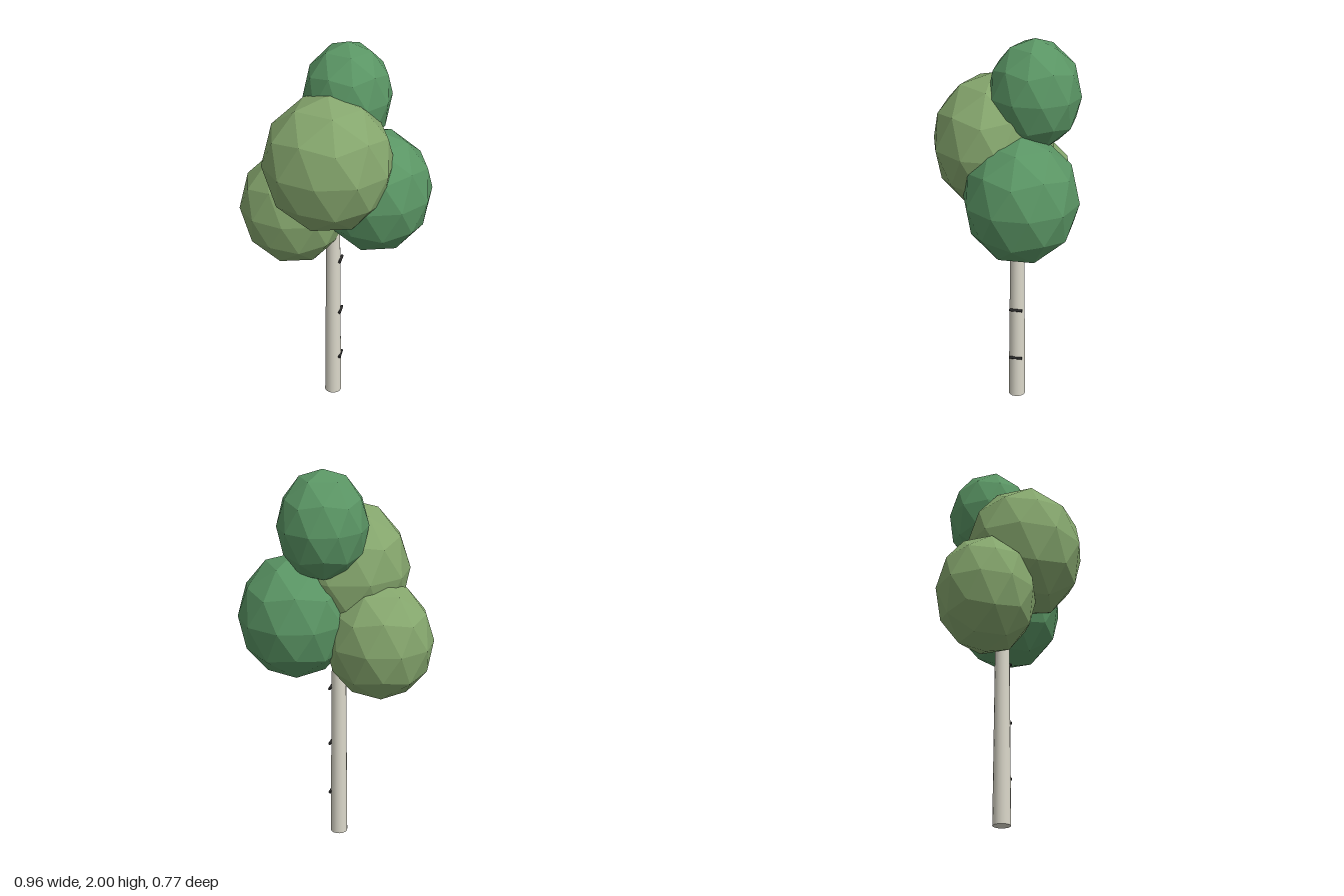
import * as THREE from 'three';

const paint = (name, color, flatShading = false) => {
  const m = new THREE.MeshStandardMaterial({ color, flatShading });
  m.name = name;
  return m;
};

export function createModel() {
  const tree = new THREE.Group();
  tree.name = 'birchTree';
  const bark = paint('paleBark', 0xdbd8ca);
  const mark = paint('barkMark', 0x2a2a2a);
  const lightLeaf = paint('lightLeaf', 0x85a66d, true);
  const darkLeaf = paint('darkLeaf', 0x5a9564, true);

  const add = (name, geometry, material, position) => {
    const mesh = new THREE.Mesh(geometry, material);
    mesh.name = name;
    mesh.position.set(...position);
    tree.add(mesh);
    return mesh;
  };

  // Slightly tapered trunk, reaching up into the foliage
  const trunkHeight = 1.3;
  add('trunk', new THREE.CylinderGeometry(0.034, 0.045, trunkHeight, 16), bark,
    [-0.008, trunkHeight / 2, -0.043]);

  // Dark horizontal bars on the left side of the trunk
  for (const y of [0.24, 0.53, 0.845]) {
    add('barkMark', new THREE.CylinderGeometry(0.0075, 0.0075, 0.068, 8).rotateX(Math.PI / 2),
      mark, [0.033, y, -0.043]);
  }

  // Faceted leaf clumps: icospheres with one vertex turned straight up
  const leafBall = new THREE.IcosahedronGeometry(1, 1).rotateZ(-Math.atan(2 / (1 + Math.sqrt(5))));
  const clumps = [
    ['frontLeaves', lightLeaf, [-0.008, 1.453, 0.08], [0.328, 0.352, 0.305]],
    ['rightLeaves', lightLeaf, [-0.217, 1.131, -0.047], [0.278, 0.31, 0.252]],
    ['leftLeaves', darkLeaf, [0.201, 1.24, -0.1], [0.289, 0.325, 0.288]],
    ['topLeaves', darkLeaf, [0.045, 1.725, -0.136], [0.2225, 0.275, 0.2275]],
  ];
  for (const [name, material, position, radii] of clumps) {
    add(name, leafBall, material, position).scale.set(...radii);
  }
  return tree;
}
